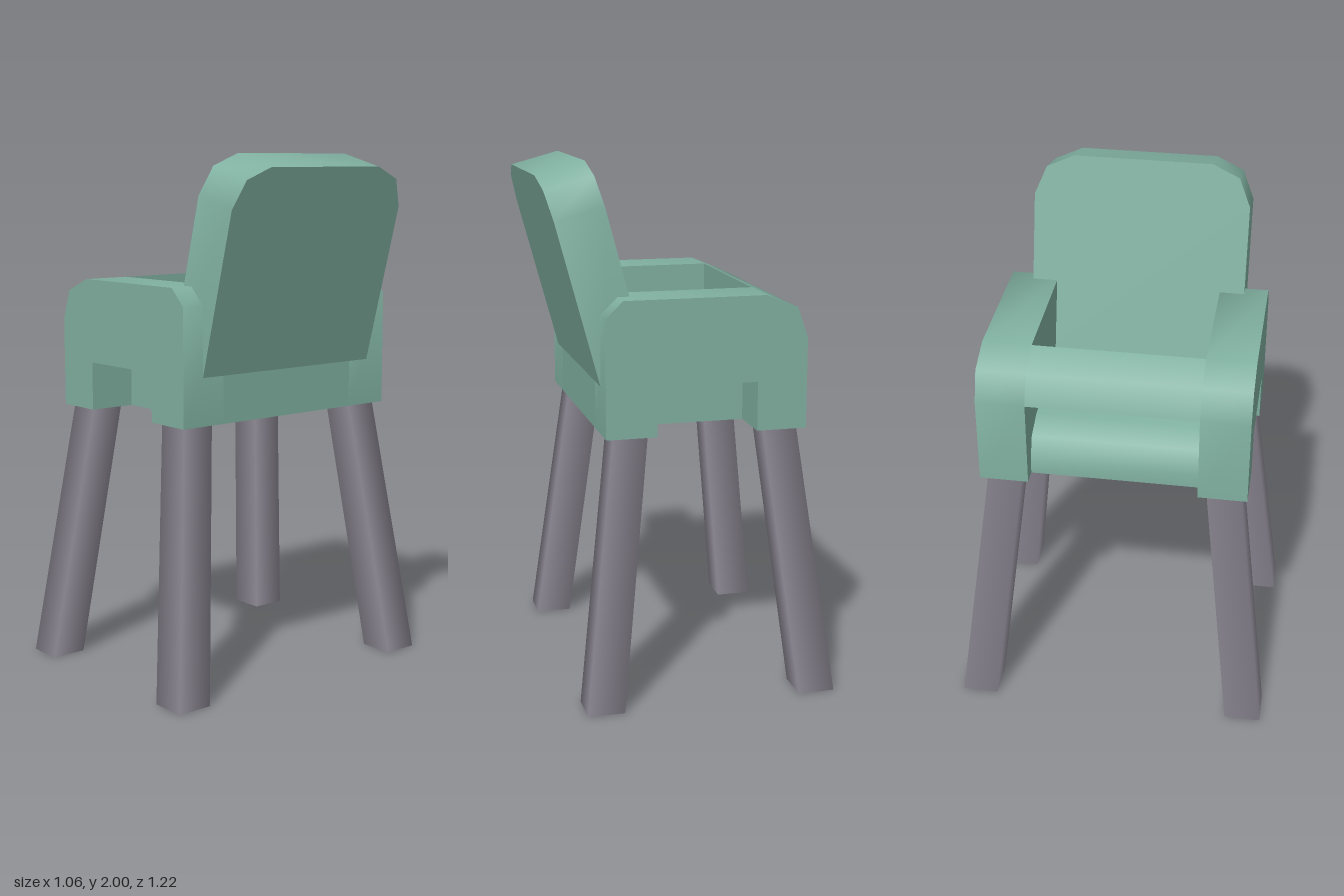
import * as THREE from 'three';
import { toCreasedNormals } from 'three/addons/utils/BufferGeometryUtils.js';

export function createModel() {
  const chair = new THREE.Group();
  chair.name = 'highChair';
  const green = new THREE.MeshStandardMaterial({ color: 0x80b0a0 });
  green.name = 'sage green';
  const grey = new THREE.MeshStandardMaterial({ color: 0x8f8a96 });
  grey.name = 'warm grey';

  const add = (name, geometry, material) => {
    const mesh = new THREE.Mesh(geometry, material);
    mesh.name = name;
    chair.add(mesh);
    return mesh;
  };

  // Extrude an outline along z, smoothing only its gentle corners
  const extrude = (points, depth) => {
    const shape = new THREE.Shape(points.map(([x, y]) => new THREE.Vector2(x, y)));
    return toCreasedNormals(new THREE.ExtrudeGeometry(shape, { depth, bevelEnabled: false }), 0.9);
  };

  const inner = 0.32, outer = 0.505;

  // Side arms: rounded front, bevelled rear, notch between the two posts
  const arm = [
    [-0.43, 1.02], [-0.24, 1.02], [-0.24, 1.205], [0.14, 1.205], [0.14, 1.02], [0.33, 1.02],
    [0.33, 1.46], [0.265, 1.525], [-0.27, 1.525], [-0.39, 1.475], [-0.43, 1.36],
  ];
  add('leftArm', extrude(arm, outer - inner).translate(0, 0, inner), green);
  add('rightArm', extrude(arm, outer - inner).translate(0, 0, -outer), green);

  // Tray bar joining the arms above the leg opening
  const bar = [[-0.43, 1.36], [-0.27, 1.36], [-0.27, 1.525], [-0.39, 1.475]];
  add('trayBar', extrude(bar, 2 * inner).translate(0, 0, -inner), green);

  // Seat block with a rounded front edge
  const seat = [
    [-0.37, 1.02], [0.33, 1.02], [0.33, 1.205], [-0.24, 1.205], [-0.335, 1.165], [-0.37, 1.08],
  ];
  add('seat', extrude(seat, 2 * inner).translate(0, 0, -inner), green);

  // Reclined backrest with rounded top corners
  const half = [[0.415, 0], [0.415, 0.668], [0.37, 0.776], [0.265, 0.823]];
  const outline = [...half, ...half.map(([x, y]) => [-x, y]).reverse()];
  const backrest = extrude(outline, 0.19).rotateY(Math.PI / 2).rotateZ(-Math.PI / 12);
  add('backrest', backrest.translate(0.135, 1.205, 0), green);

  // Four splayed square legs with level ends
  for (const sx of [-1, 1]) {
    for (const sz of [-1, 1]) {
      const geometry = new THREE.CylinderGeometry(0.065 * Math.SQRT2, 0.07 * Math.SQRT2, 1.02, 4);
      geometry.rotateY(Math.PI / 4).translate(0, 0.51, 0);
      const p = geometry.attributes.position;
      for (let i = 0; i < p.count; i++) {
        const t = p.getY(i) / 1.02;
        p.setX(i, p.getX(i) - 0.05 + sx * (0.41 - 0.125 * t));
        p.setZ(i, p.getZ(i) + sz * (0.538 - 0.123 * t));
      }
      add((sx < 0 ? 'front' : 'rear') + (sz < 0 ? 'Right' : 'Left') + 'Leg', geometry, grey);
    }
  }
  return chair;
}
